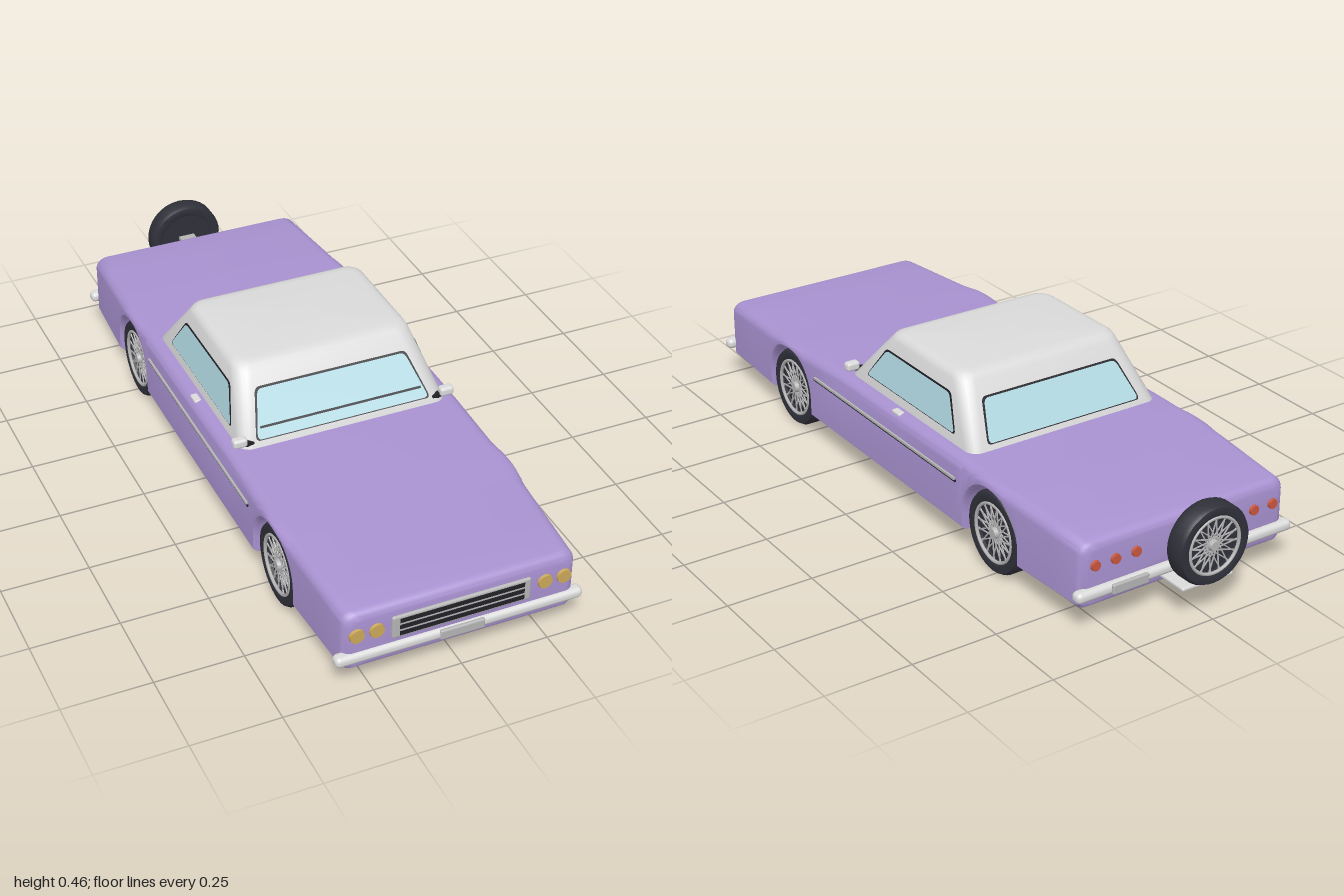
import * as THREE from 'three';
import { toCreasedNormals } from 'three/addons/utils/BufferGeometryUtils.js';
import { RoundedBoxGeometry } from 'three/addons/geometries/RoundedBoxGeometry.js';

const mat = (name, color, side = THREE.FrontSide) => {
  const m = new THREE.MeshStandardMaterial({ color, side });
  m.name = name;
  return m;
};

// Skin a list of closed rings (clockwise seen from the first end) and cap both ends
function loft(rings, crease) {
  const pos = [], idx = [], n = rings[0].length;
  rings.forEach(r => r.forEach(p => pos.push(...p)));
  for (let s = 0; s < rings.length - 1; s++)
    for (let i = 0; i < n; i++) {
      const a = s * n + i, b = s * n + (i + 1) % n;
      idx.push(a, b, a + n, b, b + n, a + n);
    }
  [0, rings.length - 1].forEach((s, end) => {
    const c = pos.length / 3;
    pos.push(...[0, 1, 2].map(k => rings[s].reduce((t, p) => t + p[k], 0) / n));
    for (let i = 0; i < n; i++) {
      const a = s * n + i, b = s * n + (i + 1) % n;
      if (end) idx.push(c, a, b); else idx.push(c, b, a);
    }
  });
  const g = new THREE.BufferGeometry();
  g.setAttribute('position', new THREE.Float32BufferAttribute(pos, 3));
  g.setIndex(idx);
  return toCreasedNormals(g, crease);
}

// Linear lookup in [z, value] pairs with falling z
function lookup(table, z) {
  for (let i = 1; i < table.length; i++) {
    const [z0, v0] = table[i - 1], [z1, v1] = table[i];
    if (z >= z1) return v0 + (v1 - v0) * Math.max(0, (z0 - z) / (z0 - z1));
  }
  return table[table.length - 1][1];
}

const AXLES = [0.577, -0.49], WHEEL_Y = 0.119, ARCH = 0.127;
const FRONT = 0.985, REAR = -0.877, FLOOR = 0.073;
const TOP = [[0.985, 0.25], [0.6, 0.268], [0.28, 0.28], [-0.35, 0.281], [-0.6, 0.276], [-0.877, 0.26]];
const HALF = [[0.985, 0.328], [0.7, 0.344], [0.6, 0.35], [-0.53, 0.35], [-0.65, 0.343], [-0.877, 0.33]];

// Body cross-section; sill is the lower edge of the flank, raised inside the arches
function section(z, sill, inset = 0) {
  const t = lookup(TOP, z) - inset, w = lookup(HALF, z) - inset;
  const floor = FLOOR + inset * 0.6, yb = Math.max(sill, floor);
  const r = Math.min(0.03, (t - yb) * 0.5), lip = Math.min(0.012, (t - yb) * 0.3);
  const half = [[0, t]];
  for (let k = 0; k <= 5; k++) {
    const a = k / 5 * Math.PI / 2;
    half.push([w - 0.035 * (1 - Math.sin(a)), t - r * (1 - Math.cos(a))]);
  }
  half.push([w, yb + lip], [w - 0.012, yb], [0.255, yb], [0.255, floor], [0, floor]);
  const other = half.slice(1, -1).reverse().map(([x, y]) => [-x, y]);
  return [...half, ...other].map(([x, y]) => [x, y, z]);
}

function bodyGeometry() {
  const rings = [], R = 0.025;
  const end = (z, dir) => {
    const out = [];
    for (let k = 0; k <= 5; k++) {
      const a = k / 5 * Math.PI / 2;
      out.push(section(z - dir * R * (1 - Math.cos(a)), FLOOR, R * (1 - Math.sin(a))));
    }
    return out;
  };
  rings.push(...end(FRONT, 1), section(0.85, FLOOR));
  AXLES.forEach(c => {
    rings.push(section(c + ARCH, FLOOR));
    for (let k = 0; k <= 20; k++) {
      const a = k / 20 * Math.PI;
      rings.push(section(c + ARCH * Math.cos(a), WHEEL_Y + ARCH * Math.sin(a)));
    }
    rings.push(section(c - ARCH, FLOOR));
    if (c > 0) rings.push(section(0.28, FLOOR), section(-0.33, FLOOR));
  });
  rings.push(section(-0.75, FLOOR), ...end(REAR, -1).reverse());
  return loft(rings, 0.6);
}

// Rounded rectangle ring at height y
function cabRing([y, hx, zf, zb, r]) {
  const ring = [];
  [[hx - r, zf - r], [r - hx, zf - r], [r - hx, zb + r], [hx - r, zb + r]].forEach(([x, z], q) => {
    for (let k = 0; k <= 5; k++) {
      const a = (q + k / 5) * Math.PI / 2;
      ring.push([x + r * Math.cos(a), y, z + r * Math.sin(a)]);
    }
  });
  return ring;
}

// Polygon with softened corners
function softShape(pts, r) {
  const s = new THREE.Shape(), v = pts.map(p => new THREE.Vector2(...p));
  v.forEach((p, i) => {
    const toward = q => p.clone().add(q.clone().sub(p).setLength(r));
    const a = toward(v[(i + v.length - 1) % v.length]), b = toward(v[(i + 1) % v.length]);
    if (i) s.lineTo(a.x, a.y); else s.moveTo(a.x, a.y);
    s.quadraticCurveTo(p.x, p.y, b.x, b.y);
  });
  s.closePath();
  return s;
}

export function createModel() {
  const paint = mat('lilac paint', 0xa992d1), white = mat('off white', 0xdadada);
  const glass = mat('pale blue glass', 0xafd6df, THREE.DoubleSide);
  const rubber = mat('dark rubber', 0x30303a, THREE.DoubleSide), black = mat('black trim', 0x222126, THREE.DoubleSide);
  const silver = mat('silver', 0xb4b4b4), gold = mat('amber lamp', 0xcba85a), red = mat('red lamp', 0xc9573f);
  const car = new THREE.Group();
  car.name = 'car';

  const add = (name, geo, m, x = 0, y = 0, z = 0, parent = car) => {
    const mesh = new THREE.Mesh(geo, m);
    mesh.name = name;
    mesh.position.set(x, y, z);
    parent.add(mesh);
    return mesh;
  };
  const box = (w, h, d) => new THREE.BoxGeometry(w, h, d);
  const soft = (w, h, d, r) => new RoundedBoxGeometry(w, h, d, 3, r);

  // Body, underfloor and cab
  add('body', bodyGeometry(), paint);
  add('underfloor', box(0.49, 0.04, 1.12), black, 0, 0.072, 0.04);
  add('cab', loft([
    [0.457, 0.235, 0.1, -0.2, 0.03], [0.455, 0.25, 0.118, -0.218, 0.04],
    [0.448, 0.262, 0.135, -0.232, 0.045], [0.435, 0.268, 0.146, -0.24, 0.045],
    [0.28, 0.31, 0.28, -0.355, 0.035], [0.25, 0.312, 0.284, -0.36, 0.035],
  ].map(cabRing), 0.7), white);

  // Windows lie on the sloping cab faces: base depth at y 0.28, slope inward, turn about y
  const pane = (name, pts, base, slope, turn, m, off, r = 0.014) => {
    const g = new THREE.ShapeGeometry(softShape(pts, r), 6), p = g.attributes.position;
    for (let i = 0; i < p.count; i++) p.setZ(i, base - (p.getY(i) - 0.28) * slope + off);
    g.rotateY(turn);
    g.computeVertexNormals();
    add(name, g, m);
  };
  const window = (name, pts, base, slope, turn) => {
    const cx = pts.reduce((t, p) => t + p[0], 0) / pts.length;
    const grown = pts.map(([x, y]) => [x + Math.sign(x - cx) * 0.005, y + (y > 0.35 ? 0.004 : -0.003)]);
    pane(name + 'Seal', grown, base, slope, turn, black, 0.002);
    pane(name + 'Glass', pts, base, slope, turn, glass, 0.004);
  };
  window('windscreen', [[-0.258, 0.297], [0.258, 0.297], [0.222, 0.4], [-0.222, 0.4]], 0.28, 0.865, 0);
  pane('wiperLine', [[-0.243, 0.32], [0.243, 0.32], [0.242, 0.325], [-0.242, 0.325]], 0.28, 0.865, 0, black, 0.006, 0.002);
  window('rearWindow', [[-0.25, 0.297], [0.25, 0.297], [0.218, 0.395], [-0.218, 0.395]], 0.355, 0.742, Math.PI);
  [1, -1].forEach(s => {
    const pts = [[0.19, 0.308], [-0.26, 0.308], [-0.2, 0.4], [0.122, 0.4]].map(([z, y]) => [-s * z, y]);
    window('sideWindow', pts, 0.31, 0.271, s * Math.PI / 2);
  });

  // Wheel with wire spokes; its outer face looks along local +y
  const wheel = name => {
    const g = new THREE.Group();
    g.name = name;
    const profile = [[0.084, -0.028], [0.1, -0.034], [0.112, -0.031], [0.118, -0.02], [0.118, 0.02],
      [0.112, 0.031], [0.1, 0.034], [0.084, 0.028], [0.084, -0.028]].map(p => new THREE.Vector2(...p));
    add('tyre', toCreasedNormals(new THREE.LatheGeometry(profile, 40), 0.7), rubber, 0, 0, 0, g);
    add('wheelDisc', new THREE.CylinderGeometry(0.085, 0.085, 0.036, 32), rubber, 0, -0.004, 0, g);
    const ring = new THREE.TorusGeometry(0.083, 0.005, 8, 40).rotateX(Math.PI / 2);
    add('rim', ring, silver, 0, 0.028, 0, g);
    add('hub', new THREE.CylinderGeometry(0.014, 0.02, 0.022, 16), silver, 0, 0.022, 0, g);
    for (let i = 0; i < 32; i++) {
      const arm = new THREE.Group(), a = i / 32 * Math.PI * 2;
      arm.rotation.y = a;
      const spoke = add('spoke', box(0.07, 0.003, 0.0032), silver, 0.049, 0.022, 0, arm);
      spoke.rotation.y = i % 2 ? 0.3 : -0.3;
      g.add(arm);
    }
    car.add(g);
    return g;
  };
  AXLES.forEach((z, i) => [1, -1].forEach(s => {
    const w = wheel(i ? 'rearWheel' : 'frontWheel');
    w.position.set(s * 0.305, WHEEL_Y, z);
    w.rotation.z = -s * Math.PI / 2;
  }));

  // Spare wheel on its carrier
  const spare = wheel('spareWheel');
  spare.position.set(0, 0.214, -0.966);
  spare.rotation.x = -Math.PI / 2;
  spare.scale.setScalar(0.96);
  add('spareBracket', box(0.05, 0.05, 0.07), silver, 0, 0.2, -0.905);
  add('spareTray', soft(0.165, 0.012, 0.1, 0.005), white, 0, 0.1, -0.925);

  // Bumpers, plates and grille
  add('frontBumper', soft(0.705, 0.032, 0.036, 0.014), white, 0, 0.114, 0.979);
  add('rearBumper', soft(0.7, 0.032, 0.036, 0.014), white, 0, 0.118, -0.877);
  add('frontPlate', soft(0.128, 0.03, 0.012, 0.005), silver, 0, 0.114, 0.994);
  add('rearPlate', soft(0.115, 0.03, 0.012, 0.005), silver, 0.188, 0.118, -0.895);
  add('grilleFrame', soft(0.394, 0.07, 0.016, 0.007), silver, 0, 0.178, 0.984);
  [0.158, 0.178, 0.198].forEach(y => add('grilleSlot', box(0.352, 0.013, 0.004), black, 0, y, 0.9915));

  // Lamps
  const lamp = (name, r, m, x, y, z) =>
    add(name, new THREE.CylinderGeometry(r * 0.9, r, 0.012, 24).rotateX(Math.sign(z) * Math.PI / 2), m, x, y, z);
  [1, -1].forEach(s => {
    [0.238, 0.293].forEach(x => lamp('headlight', 0.022, gold, s * x, 0.185, 0.986));
    [0.16, 0.225, 0.288].forEach(x => lamp('tailLight', 0.015, red, s * x, 0.195, -0.879));

    // Side trim, handles and mirrors
    add('sideTrim', box(0.008, 0.007, 0.75), silver, s * 0.352, 0.217, 0.043);
    add('sideTrimEdge', box(0.006, 0.005, 0.76), black, s * 0.351, 0.211, 0.043);
    add('doorHandle', soft(0.022, 0.012, 0.04, 0.005), white, s * 0.328, 0.275, -0.012);
    add('mirrorStalk', box(0.045, 0.014, 0.014), black, s * 0.292, 0.295, 0.265).rotation.z = s * 0.3;
    add('mirror', soft(0.042, 0.027, 0.028, 0.009), white, s * 0.311, 0.305, 0.268);
  });
  return car;
}
